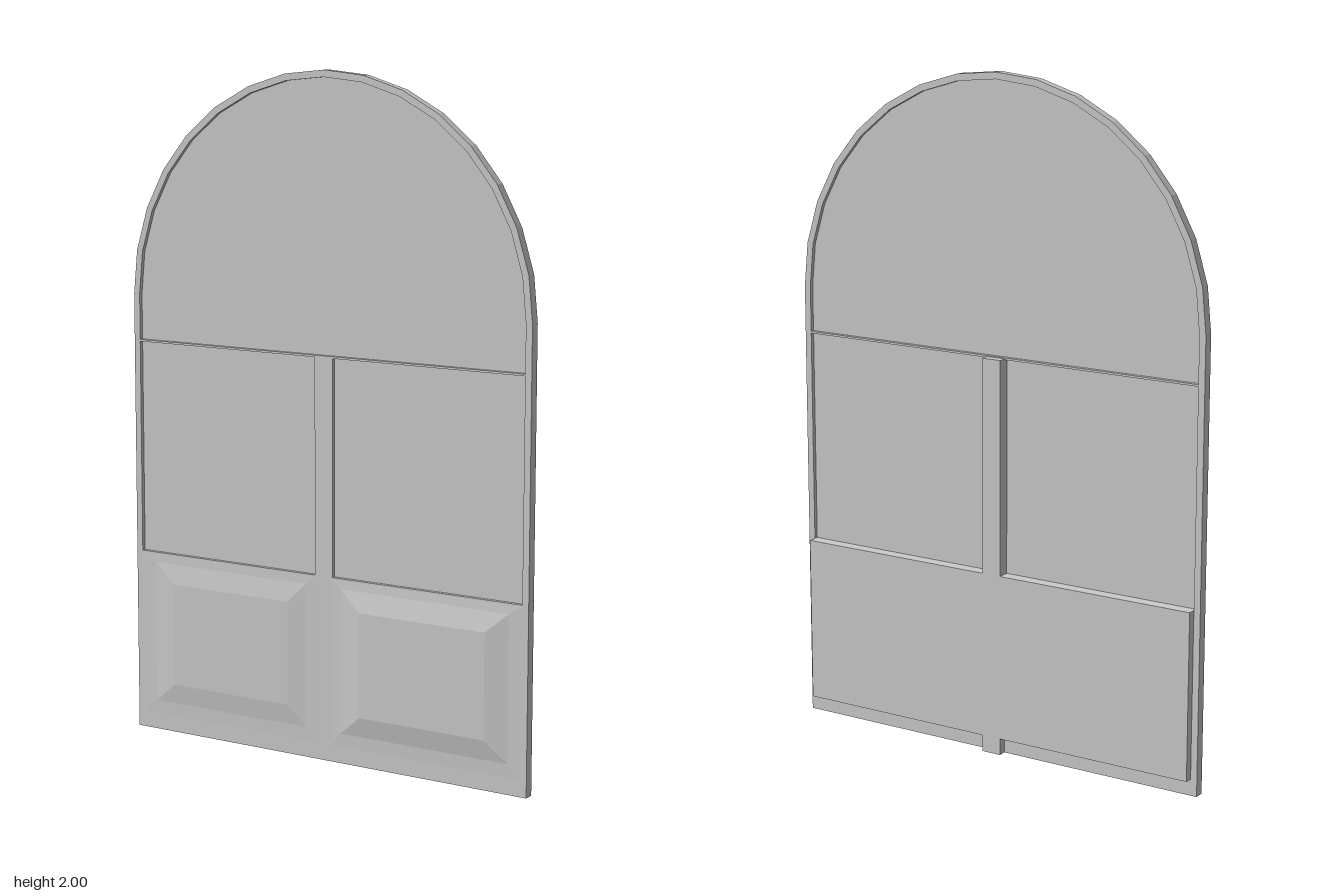
import * as THREE from 'three';

const R = 0.67, RIM = 0.02, SPRING = 1.33, TRANSOM = 1.19, SILL = 0.55, POST = 0.03;
const BACK = -0.01, FRONT = 0.02, REAR = -0.035;
const mat = new THREE.MeshStandardMaterial({ color: 0xcccccc, flatShading: true });

// Straight-sided outline with a round top
function arch(r, y0, Type) {
  const s = new Type();
  s.moveTo(-r, y0);
  s.lineTo(r, y0);
  s.lineTo(r, SPRING);
  s.absarc(0, SPRING, r, 0, Math.PI, false);
  s.closePath();
  return s;
}

function rect(x0, x1, y0, y1) {
  const p = new THREE.Path();
  p.moveTo(x0, y0);
  p.lineTo(x1, y0);
  p.lineTo(x1, y1);
  p.lineTo(x0, y1);
  p.closePath();
  return p;
}

// Raised panel: nested rectangles [x0, x1, y0, y1, z] joined by sloping bands
function raisedPanel(rings) {
  const pos = [], idx = [];
  rings.forEach(([x0, x1, y0, y1, z]) => pos.push(x0, y0, z, x1, y0, z, x1, y1, z, x0, y1, z));
  for (let r = 0; r < rings.length - 1; r++) {
    for (let i = 0; i < 4; i++) {
      const a = r * 4 + i, b = r * 4 + (i + 1) % 4;
      idx.push(a, b, b + 4, a, b + 4, a + 4);
    }
  }
  const c = (rings.length - 1) * 4;
  idx.push(c, c + 1, c + 2, c, c + 2, c + 3);
  const g = new THREE.BufferGeometry();
  g.setAttribute('position', new THREE.Float32BufferAttribute(pos, 3));
  g.setIndex(idx);
  const flat = g.toNonIndexed();
  flat.computeVertexNormals();
  return flat;
}

export function createModel() {
  const group = new THREE.Group();
  const add = (name, geometry) => {
    const m = new THREE.Mesh(geometry, mat);
    m.name = name;
    group.add(m);
  };
  const box = (name, x0, x1, y0, y1, z0, z1) => {
    const g = new THREE.BoxGeometry(x1 - x0, y1 - y0, z1 - z0);
    add(name, g.translate((x0 + x1) / 2, (y0 + y1) / 2, (z0 + z1) / 2));
  };

  // Frame with three glazed openings above a solid lower part
  const inner = R - RIM;
  const frame = arch(R, 0, THREE.Shape);
  frame.holes.push(
    arch(inner, TRANSOM + 0.003, THREE.Path),
    rect(-inner, -POST, SILL, TRANSOM - 0.003),
    rect(POST, inner, SILL, TRANSOM - 0.003)
  );
  const frameGeo = new THREE.ExtrudeGeometry(frame, { depth: FRONT - BACK, bevelEnabled: false, curveSegments: 8 });
  add('frame', frameGeo.translate(0, 0, BACK));

  // Thin panes set inside the openings
  const pane = new THREE.ExtrudeGeometry(arch(inner, TRANSOM, THREE.Shape), { depth: 0.006, bevelEnabled: false, curveSegments: 8 });
  add('archPane', pane.translate(0, 0, 0.002));
  box('leftPane', POST, inner, SILL, TRANSOM, 0.002, 0.008);
  box('rightPane', -inner, -POST, SILL, TRANSOM, 0.002, 0.008);

  // Thicker parts on the back
  box('backBoard', -inner, inner, 0.05, SILL, REAR, BACK);
  box('backPostUpper', -POST, POST, SILL, TRANSOM, REAR, BACK);
  box('backPostFoot', -POST, POST, 0, 0.05, REAR, BACK);

  // Raised panels on the lower front, the left one slightly prouder
  add('leftPanel', raisedPanel([
    [0.03, 0.65, 0.05, 0.545, FRONT],
    [0.06, 0.61, 0.09, 0.52, 0.022],
    [0.13, 0.54, 0.15, 0.46, 0.034]
  ]));
  add('rightPanel', raisedPanel([
    [-0.65, -0.03, 0.05, 0.545, FRONT],
    [-0.60, -0.06, 0.09, 0.52, 0.021],
    [-0.53, -0.12, 0.15, 0.46, 0.029]
  ]));
  return group;
}
